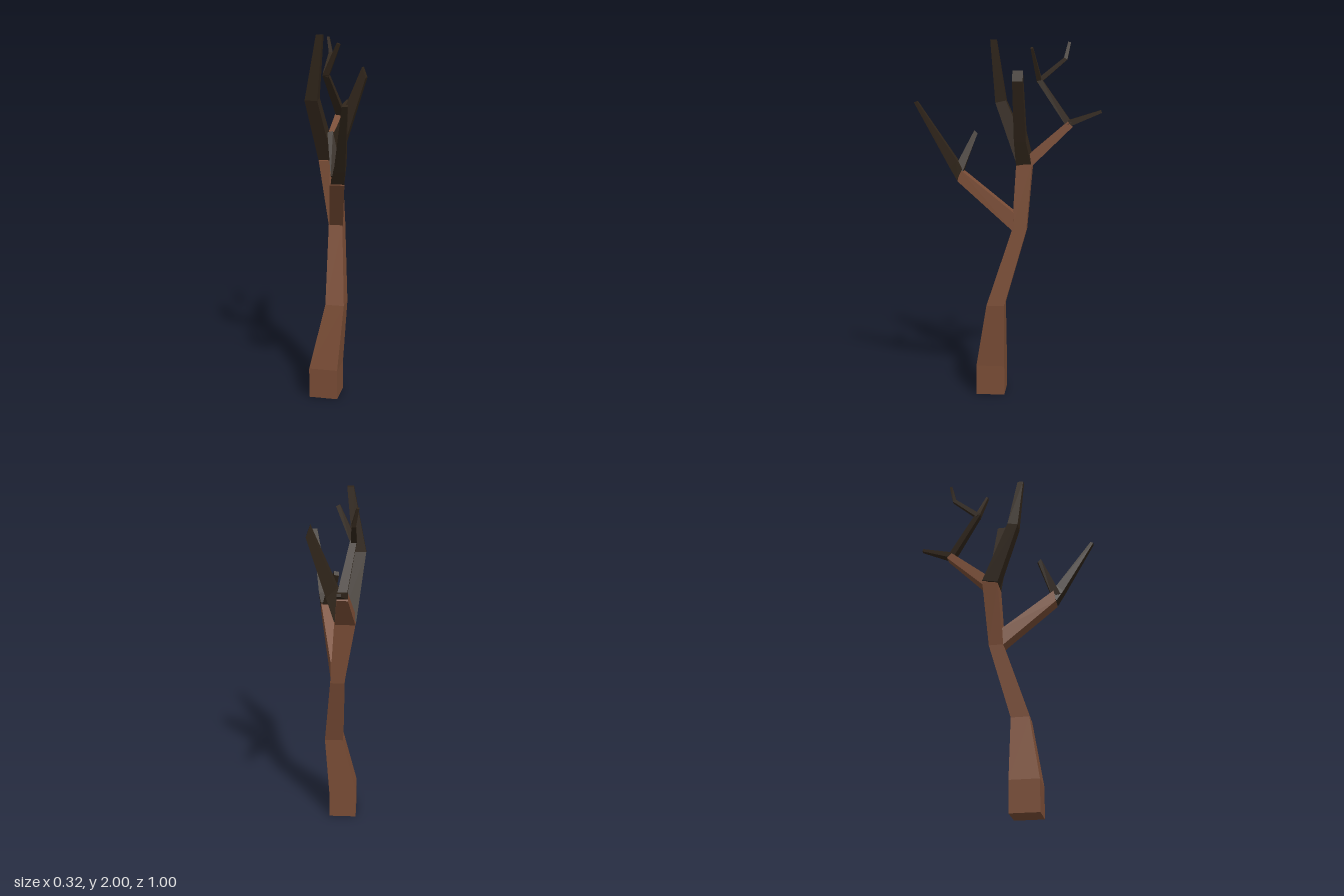
import * as THREE from 'three';

const bark = new THREE.MeshStandardMaterial({ color: 0x7a4d36, flatShading: true });
const darkBark = new THREE.MeshStandardMaterial({ color: 0x30251a, flatShading: true });

// Four-sided limb lofted through rings: [x, y, z, width, depth, tilt, roll]
// tilt (degrees) leans the ring towards +z, roll leans it towards -x.
function limb(name, material, rings) {
  const corners = rings.map(([x, y, z, w, d, tilt = 0, roll = 0]) => {
    const turn = new THREE.Euler(THREE.MathUtils.degToRad(tilt), 0, THREE.MathUtils.degToRad(roll));
    return [[-1, 1], [1, 1], [1, -1], [-1, -1]].map(([sx, sz]) =>
      new THREE.Vector3(sx * w / 2, 0, sz * d / 2).applyEuler(turn).add(new THREE.Vector3(x, y, z)));
  });
  const points = [];
  const quad = (a, b, c, d) => points.push(a, b, c, a, c, d);
  for (let k = 0; k + 1 < corners.length; k++) {
    const lo = corners[k], hi = corners[k + 1];
    for (let i = 0; i < 4; i++) {
      const j = (i + 1) % 4;
      quad(lo[i], lo[j], hi[j], hi[i]);
    }
  }
  const first = corners[0], last = corners[corners.length - 1];
  quad(first[3], first[2], first[1], first[0]);
  quad(last[0], last[1], last[2], last[3]);
  const geometry = new THREE.BufferGeometry().setFromPoints(points);
  geometry.computeVertexNormals();
  const mesh = new THREE.Mesh(geometry, material);
  mesh.name = name;
  return mesh;
}

export function createModel() {
  const tree = new THREE.Group();
  tree.name = 'bareTree';

  // Trunk, bending backwards as it rises
  tree.add(limb('trunk', bark, [
    [-0.04, 0, 0.112, 0.16, 0.16],
    [-0.04, 0.17, 0.112, 0.16, 0.16],
    [0.012, 0.53, 0.08, 0.105, 0.1],
    [-0.013, 0.955, -0.05, 0.078, 0.08],
    [-0.056, 1.32, -0.075, 0.115, 0.09, 10],
  ]));

  // Front branch and its two twigs
  tree.add(limb('frontBranch', bark, [
    [-0.011, 1.0, -0.02, 0.077, 0.105, 88],
    [0.058, 1.268, 0.275, 0.08, 0.068, 80],
  ]));
  tree.add(limb('frontLongTwig', darkBark, [
    [0.062, 1.27, 0.27, 0.072, 0.065, 65],
    [0.08, 1.33, 0.302, 0.06, 0.055, 45],
    [0.145, 1.665, 0.493, 0.028, 0.018, 25],
  ]));
  tree.add(limb('frontShortTwig', darkBark, [
    [0.06, 1.285, 0.28, 0.06, 0.05, -20, 15],
    [0.005, 1.495, 0.192, 0.03, 0.025, -45, 20],
  ]));

  // Pair of upper limbs forking from the top of the trunk
  tree.add(limb('upperRightLimb', darkBark, [
    [-0.075, 1.325, -0.075, 0.08, 0.09, 10],
    [-0.125, 1.66, 0.064, 0.07, 0.06, 12],
    [-0.073, 1.998, 0.1, 0.034, 0.034],
  ]));
  tree.add(limb('upperLeftLimb', darkBark, [
    [-0.045, 1.335, -0.073, 0.1, 0.085, 0, -30],
    [0.018, 1.475, -0.055, 0.08, 0.065, 0, -45],
    [0.14, 1.8, -0.05, 0.06, 0.056, 0, -70],
  ]));

  // Back branch and its twigs
  tree.add(limb('backBranch', bark, [
    [-0.056, 1.33, -0.095, 0.11, 0.06, -50],
    [-0.05, 1.54, -0.325, 0.056, 0.04, -50],
  ]));
  tree.add(limb('backTwig', darkBark, [
    [-0.05, 1.545, -0.32, 0.056, 0.035, -65],
    [-0.04, 1.61, -0.495, 0.022, 0.016, -70],
  ]));
  tree.add(limb('backRisingTwig', darkBark, [
    [-0.046, 1.54, -0.318, 0.05, 0.036, 30],
    [-0.098, 1.78, -0.15, 0.034, 0.03, 20],
  ]));
  tree.add(limb('backInnerTwig', darkBark, [
    [-0.1, 1.772, -0.152, 0.034, 0.028, 5, -25],
    [-0.018, 1.95, -0.114, 0.022, 0.014, 10, -25],
  ]));
  tree.add(limb('backOuterTwig', darkBark, [
    [-0.1, 1.775, -0.15, 0.03, 0.028, -50],
    [-0.102, 1.895, -0.295, 0.022, 0.022, -30],
    [-0.122, 1.985, -0.315, 0.014, 0.016, -10],
  ]));

  return tree;
}
